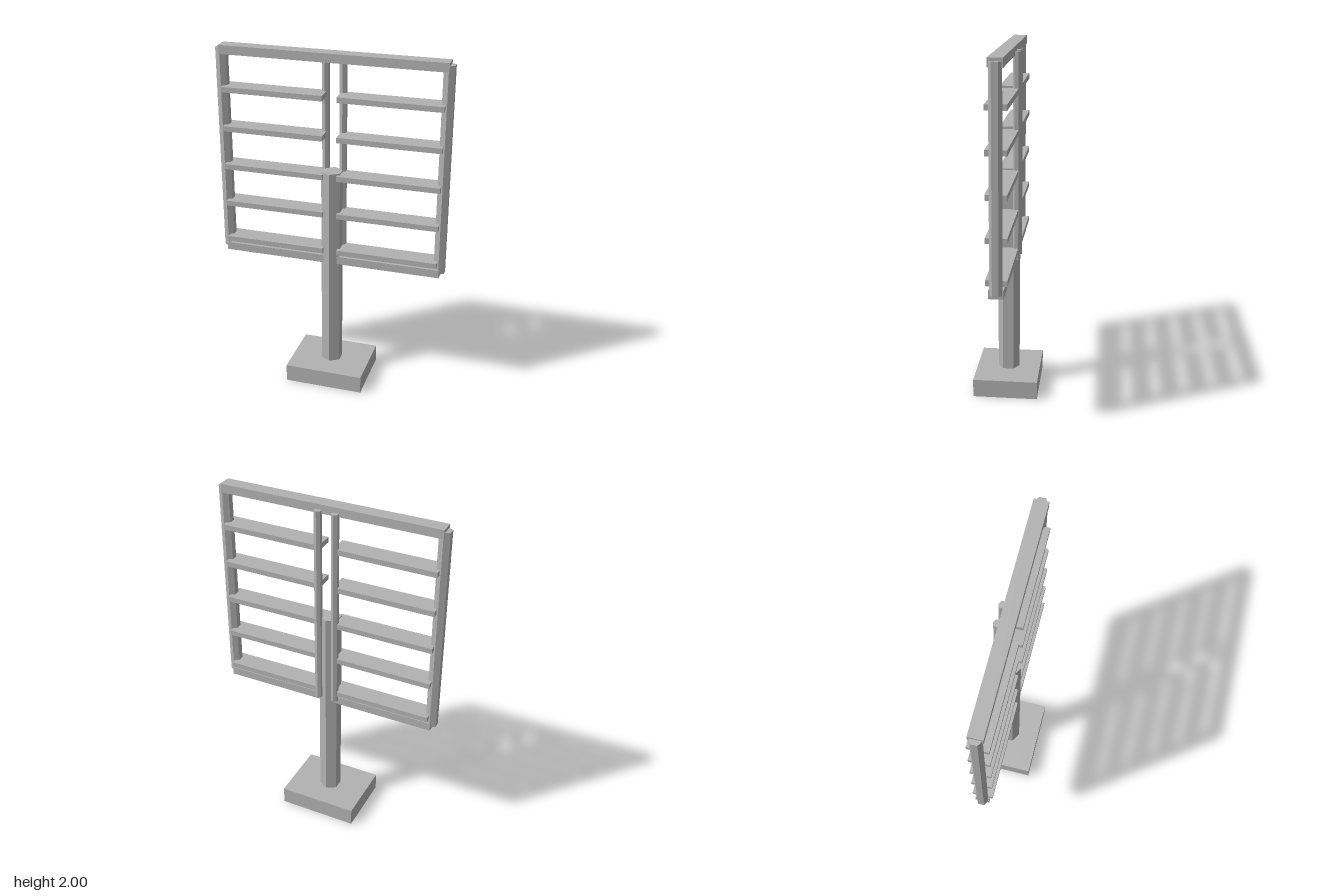
import * as THREE from 'three';

export function createModel() {
  const model = new THREE.Group();
  model.name = 'slattedSignStand';
  const grey = new THREE.MeshStandardMaterial({ color: 0xb2b2b2 });
  grey.name = 'plain grey';

  const add = (name, geometry, x, y, z) => {
    const mesh = new THREE.Mesh(geometry, grey);
    mesh.name = name;
    mesh.position.set(x, y, z);
    model.add(mesh);
  };
  // Box spanning y0..y1
  const box = (name, w, y0, y1, d, x = 0) =>
    add(name, new THREE.BoxGeometry(w, y1 - y0, d), x, (y0 + y1) / 2, 0);
  // Upright six-sided bar with corners facing front and back
  const hexBar = (name, r, y0, y1, x = 0, z = 0) => {
    const g = new THREE.CylinderGeometry(r, r, y1 - y0, 6).toNonIndexed();
    g.computeVertexNormals();
    add(name, g, x, (y0 + y1) / 2, z);
  };

  // Foot and main post
  box('base', 0.462, 0, 0.104, 0.37);
  hexBar('mainPost', 0.063, 0.104, 1.322);

  // Horizontal frame rails
  box('topRail', 1.277, 1.95, 2, 0.08);
  box('bottomRail', 1.277, 0.761, 0.808, 0.08);

  for (const [side, s] of [['left', 1], ['right', -1]]) {
    // Outer upright and the thin upright behind the post
    hexBar(side + 'OuterUpright', 0.035, 0.782, 1.982, s * 0.634);
    hexBar(side + 'InnerUpright', 0.022, 0.79, 1.97, s * 0.05, -0.048);
    // Five slats
    for (let i = 0; i < 5; i++) {
      const y = 0.842 + i * 0.2283;
      box(side + 'Slat' + (i + 1), 0.584, y - 0.0155, y + 0.0155, 0.116, s * 0.333);
    }
  }
  return model;
}
